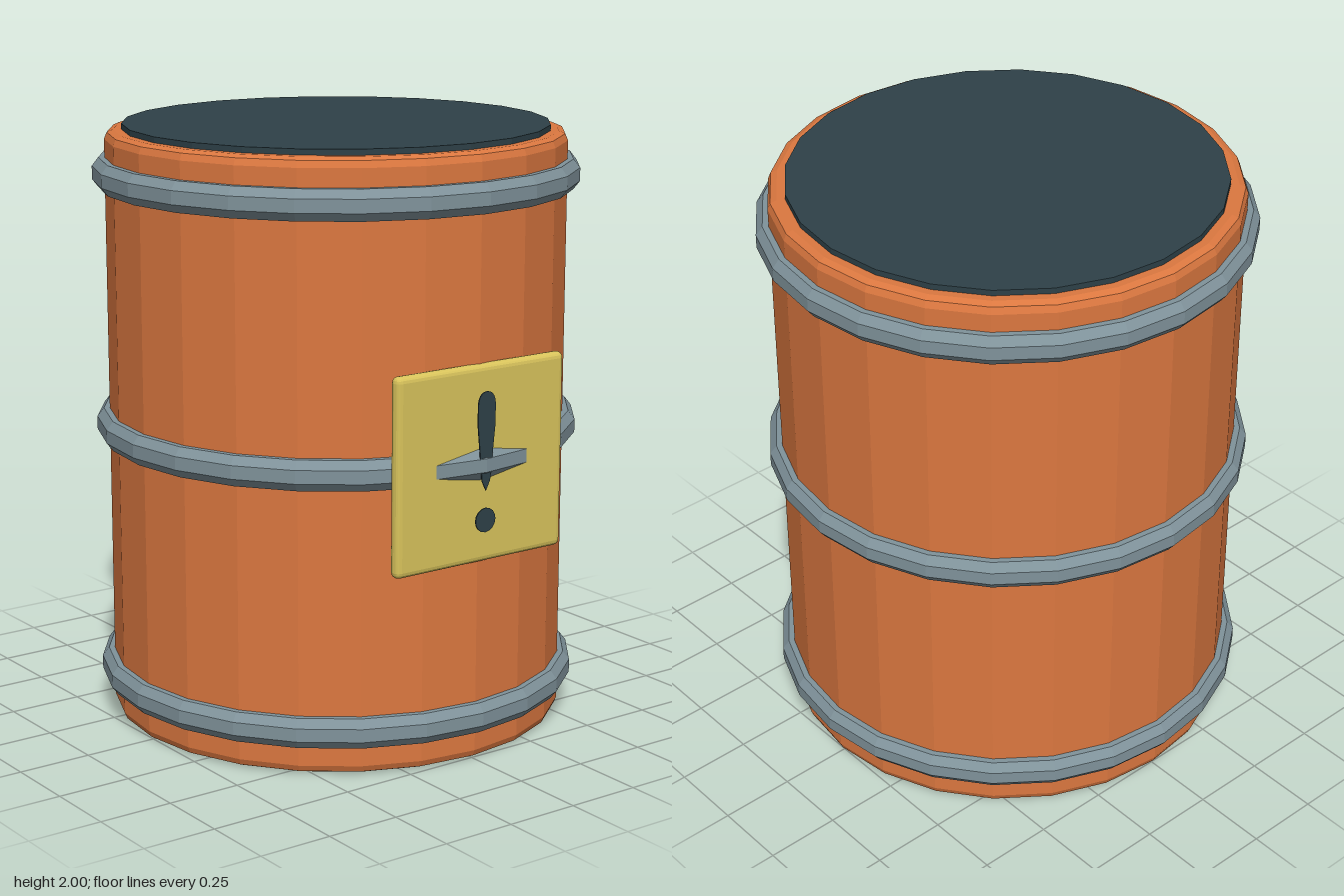
import * as THREE from 'three';
import { RoundedBoxGeometry } from 'three/addons/geometries/RoundedBoxGeometry.js';

const SIDES = 24;
const material = (name, color) => new THREE.MeshStandardMaterial({ name, color, flatShading: true });

export function createModel() {
  const orange = material('orangePaint', 0xdc7840);
  const steel = material('greySteel', 0x80939b);
  const dark = material('darkSlate', 0x2e4148);
  const yellow = material('yellowSign', 0xd9c45c);

  const model = new THREE.Group();
  model.name = 'barrel';
  const add = (name, geometry, mat, x = 0, y = 0, z = 0) => {
    const mesh = new THREE.Mesh(geometry, mat);
    mesh.name = name;
    mesh.position.set(x, y, z);
    model.add(mesh);
    return mesh;
  };
  const lathe = (points) =>
    new THREE.LatheGeometry(points.map(([r, y]) => new THREE.Vector2(r, y)), SIDES);

  // Drum with bevelled rims
  add('body', lathe([
    [0, 0], [0.735, 0], [0.756, 0.009], [0.765, 0.03],
    [0.765, 1.95], [0.756, 1.972], [0.735, 1.981], [0, 1.981],
  ]), orange);

  // Dark lid standing slightly proud of the rim
  add('lid', new THREE.CylinderGeometry(0.708, 0.708, 0.03, SIDES), dark, 0, 1.985, 0);

  // Three octagonal-section hoops
  const hoop = lathe([
    [0.735, -0.05], [0.785, -0.05], [0.807, -0.022], [0.807, 0.022],
    [0.785, 0.05], [0.735, 0.05],
  ]);
  [['bottomHoop', 0.148], ['middleHoop', 0.995], ['topHoop', 1.84]]
    .forEach(([name, y]) => add(name, hoop, steel, 0, y, 0));

  // Warning plate on the front, with the middle hoop passing through it
  add('signPlate', new RoundedBoxGeometry(0.67, 0.645, 0.044, 2, 0.02), yellow, 0, 0.993, 0.761);

  // Exclamation mark: tapered stroke and round dot
  const stroke = new THREE.Shape();
  stroke.moveTo(0, 0.913);
  stroke.lineTo(0.016, 0.945);
  stroke.lineTo(0.034, 1.12);
  stroke.lineTo(0.035, 1.19);
  stroke.quadraticCurveTo(0.032, 1.233, 0, 1.234);
  stroke.quadraticCurveTo(-0.032, 1.233, -0.035, 1.19);
  stroke.lineTo(-0.034, 1.12);
  stroke.lineTo(-0.016, 0.945);
  stroke.closePath();
  const dot = new THREE.Shape().absarc(0, 0.816, 0.04, 0, Math.PI * 2);
  const thin = { depth: 0.004, bevelEnabled: false, curveSegments: 8 };
  add('markStroke', new THREE.ExtrudeGeometry(stroke, thin), dark, 0, 0, 0.8);
  add('markDot', new THREE.ExtrudeGeometry(dot, thin), dark, 0, 0, 0.8);

  return model;
}
